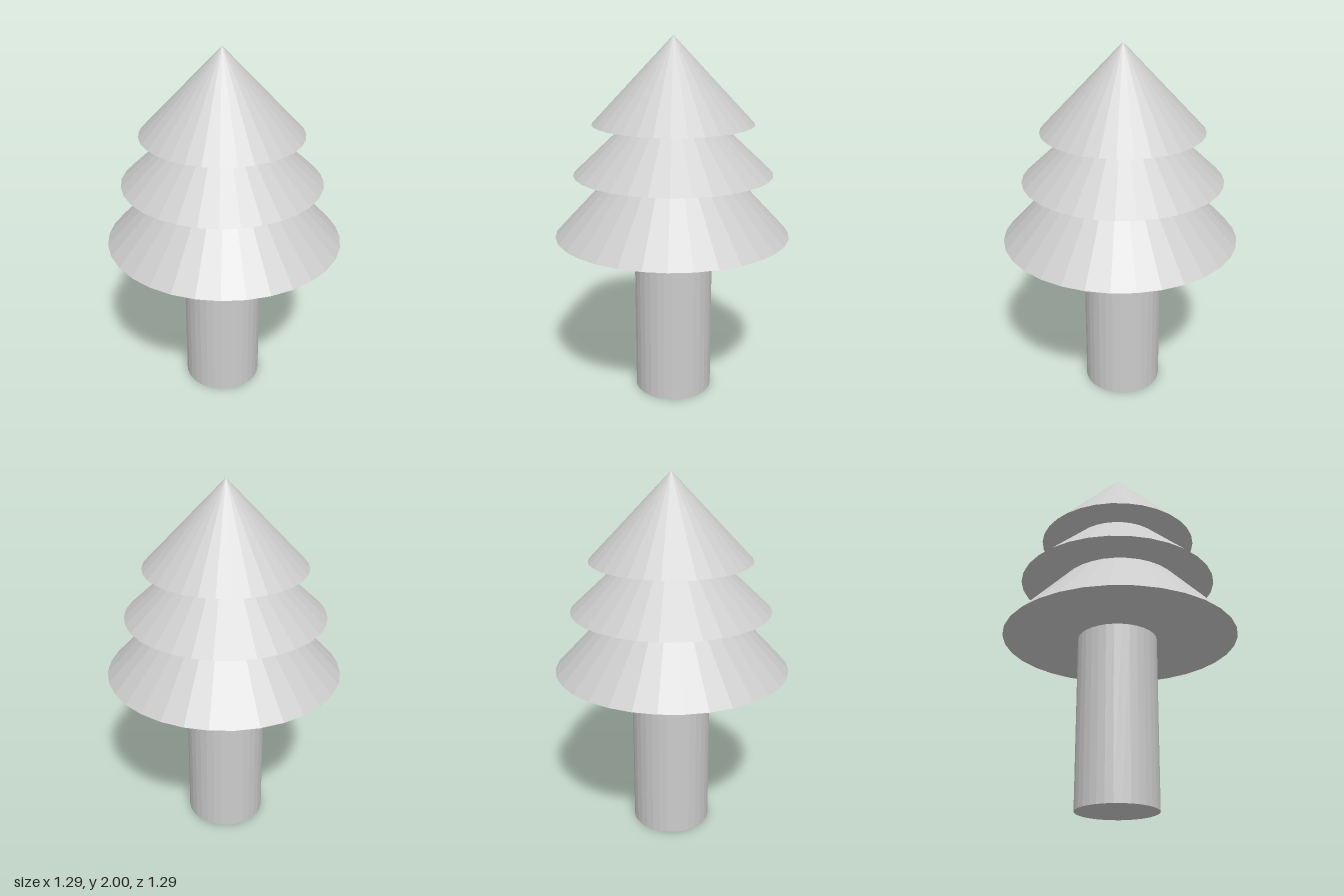
import * as THREE from 'three';

const SIDES = 32;
const AXIS_X = -0.015; // trunk and upper tiers sit slightly off the lowest tier

export function createModel() {
  const tree = new THREE.Group();
  tree.name = 'tree';
  const material = new THREE.MeshStandardMaterial({ color: 0xcccccc, flatShading: true });

  // Adds a solid standing on height y
  const add = (name, geometry, height, x, y) => {
    const mesh = new THREE.Mesh(geometry, material);
    mesh.name = name;
    mesh.position.set(x, y + height / 2, 0);
    tree.add(mesh);
  };

  // Trunk
  add('trunk', new THREE.CylinderGeometry(0.217, 0.217, 0.935, SIDES), 0.935, AXIS_X, 0);

  // Foliage tiers: name, radius, height, x, base y
  const tiers = [
    ['lowerFoliage', 0.643, 0.685, 0, 0.935],
    ['middleFoliage', 0.543, 0.51, AXIS_X, 1.27],
    ['upperFoliage', 0.437, 0.46, AXIS_X, 1.54],
  ];
  for (const [name, radius, height, x, y] of tiers) {
    add(name, new THREE.ConeGeometry(radius, height, SIDES), height, x, y);
  }

  return tree;
}
